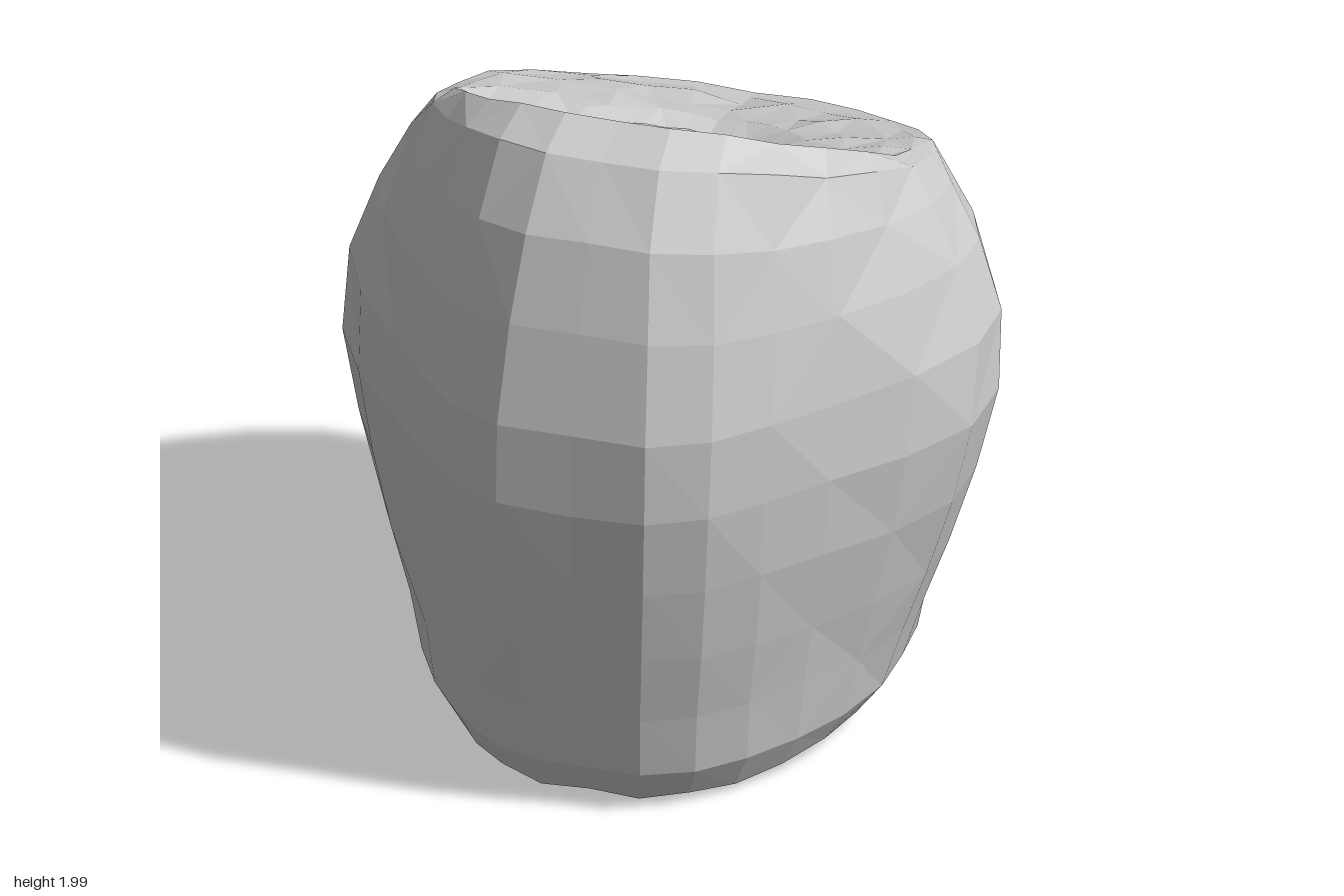
import * as THREE from 'three';

const SEG = 26;

// Small repeatable wobble for the crumpled fabric, mirrored left to right
const wobble = (i, j) => {
  const m = Math.min(j, SEG - j);
  const s = Math.sin(i * 12.99 + m * 78.23) * 437.58;
  return (s - Math.floor(s) - 0.5) * 2;
};

// One closed loop; heights and depths are given at the front, sides and back
function loop([zf, zb, zw, w, yf, ys, yb, pinchFront, pinchBack], row) {
  const pts = [];
  for (let j = 0; j < SEG; j++) {
    const a = (j / SEG) * Math.PI * 2;
    const c = Math.min(Math.cos(a) * 1.03, 1);
    const t = Math.min(Math.abs(c), 1);
    const squeeze = 1 - (c > 0 ? pinchFront : pinchBack) * Math.sin(2 * a) ** 2;
    const n = wobble(row, j) * 0.009;
    pts.push(new THREE.Vector3(
      Math.sin(a) * w * squeeze * (1 + n),
      ys + (c > 0 ? (yf - ys) * t : (yb - ys) * t ** 1.25) + n,
      zw + (c > 0 ? zf - zw : zb - zw) * t + n * 0.4));
  }
  return pts;
}

// Flat-shaded skin over a stack of loops, with alternating diagonals
function skin(loops, name) {
  const pos = [];
  const tri = (...p) => p.forEach(v => pos.push(v.x, v.y, v.z));
  for (let i = 0; i < loops.length - 1; i++) {
    for (let j = 0; j < SEG; j++) {
      const k = (j + 1) % SEG;
      const a = loops[i][j], b = loops[i][k], c = loops[i + 1][k], d = loops[i + 1][j];
      const flip = (i + (j < SEG / 2 ? j : j + 1)) % 2;
      if (flip) { tri(a, b, c); tri(a, c, d); }
      else { tri(a, b, d); tri(b, c, d); }
    }
  }
  const geo = new THREE.BufferGeometry();
  geo.setAttribute('position', new THREE.Float32BufferAttribute(pos, 3));
  geo.computeVertexNormals();
  const mesh = new THREE.Mesh(geo, new THREE.MeshStandardMaterial({
    color: 0xcccccc, flatShading: true, side: THREE.DoubleSide }));
  mesh.name = name;
  return mesh;
}

export function createModel() {
  const group = new THREE.Group();
  group.name = 'beanBagChair';

  // Bag profile: front z, back z, widest z, half width, front/side/back height, front/back pinch
  const loops = [
    [0.62, -0.36, 0.08, 0.42, 0.012, 0.012, 0.03, 0.04, -0.08],
    [0.69, -0.53, 0.04, 0.59, 0.025, 0.055, 0.08, 0.05, -0.12],
    [0.74, -0.62, 0.02, 0.665, 0.12, 0.15, 0.16, 0.07, -0.14],
    [0.775, -0.70, 0.0, 0.72, 0.32, 0.32, 0.32, 0.11, -0.11],
    [0.81, -0.735, -0.02, 0.785, 0.52, 0.5, 0.52, 0.14, -0.04],
    [0.85, -0.80, -0.03, 0.865, 0.76, 0.74, 0.76, 0.18, 0.05],
    [0.875, -0.875, -0.05, 0.92, 1.0, 0.98, 0.95, 0.21, 0.13],
    [0.865, -0.875, -0.12, 0.915, 1.24, 1.2, 1.14, 0.18, 0.14],
    [0.795, -0.865, -0.16, 0.84, 1.52, 1.4, 1.26, 0.11, 0.1],
    [0.71, -0.86, -0.19, 0.745, 1.76, 1.54, 1.32, 0.05, 0.06],
    [0.575, -0.845, -0.2, 0.68, 1.95, 1.62, 1.365, 0.03, 0.03],
    [0.43, -0.80, -0.2, 0.63, 2.0, 1.64, 1.375, 0.01, 0.01],
  ].map(loop);

  // Soft dents low on both sides, behind the middle
  for (const p of loops.flat()) {
    const d = ((p.y - 0.42) / 0.14) ** 2 + ((p.z + 0.3) / 0.14) ** 2;
    if (Math.abs(p.x) > 0.4) p.x -= Math.sign(p.x) * 0.045 * Math.exp(-d);
    p.y = Math.max(p.y, 0);
  }

  // Closed underside
  const base = Array.from({ length: SEG }, () => new THREE.Vector3(0, 0.02, 0.1));
  group.add(skin([base, ...loops], 'bag'));

  // Seat hollow: sloping backrest, and a swelling ledge that drops into a shallow dip
  const rim = loops.at(-1);
  const dip = new THREE.Vector3(0, 1.33, -0.17);
  const rows = [ // distance from dip, fall on the backrest side, fall and swell on the ledge side
    [0.88, 0.15, 0, 0.03], [0.7, 0.38, 0, 0.07], [0.53, 0.6, 0, 0.1],
    [0.4, 0.76, 0.05, 0.1], [0.24, 0.92, 0.75, 0.02], [0, 1, 1, 0],
  ];
  const seat = rows.map(([s, front, back, swell], i) => rim.map((p, j) => {
    const mix = 0.5 + 0.5 * Math.cos((j / SEG) * Math.PI * 2);
    const fall = back + (front - back) * mix ** 0.7;
    const q = dip.clone().lerp(p, s);
    q.y = p.y + (dip.y - p.y) * fall + swell * (1 - mix) + wobble(i + 20, j) * 0.014 * s;
    return q;
  }));
  group.add(skin([rim, ...seat], 'seatHollow'));
  return group;
}
